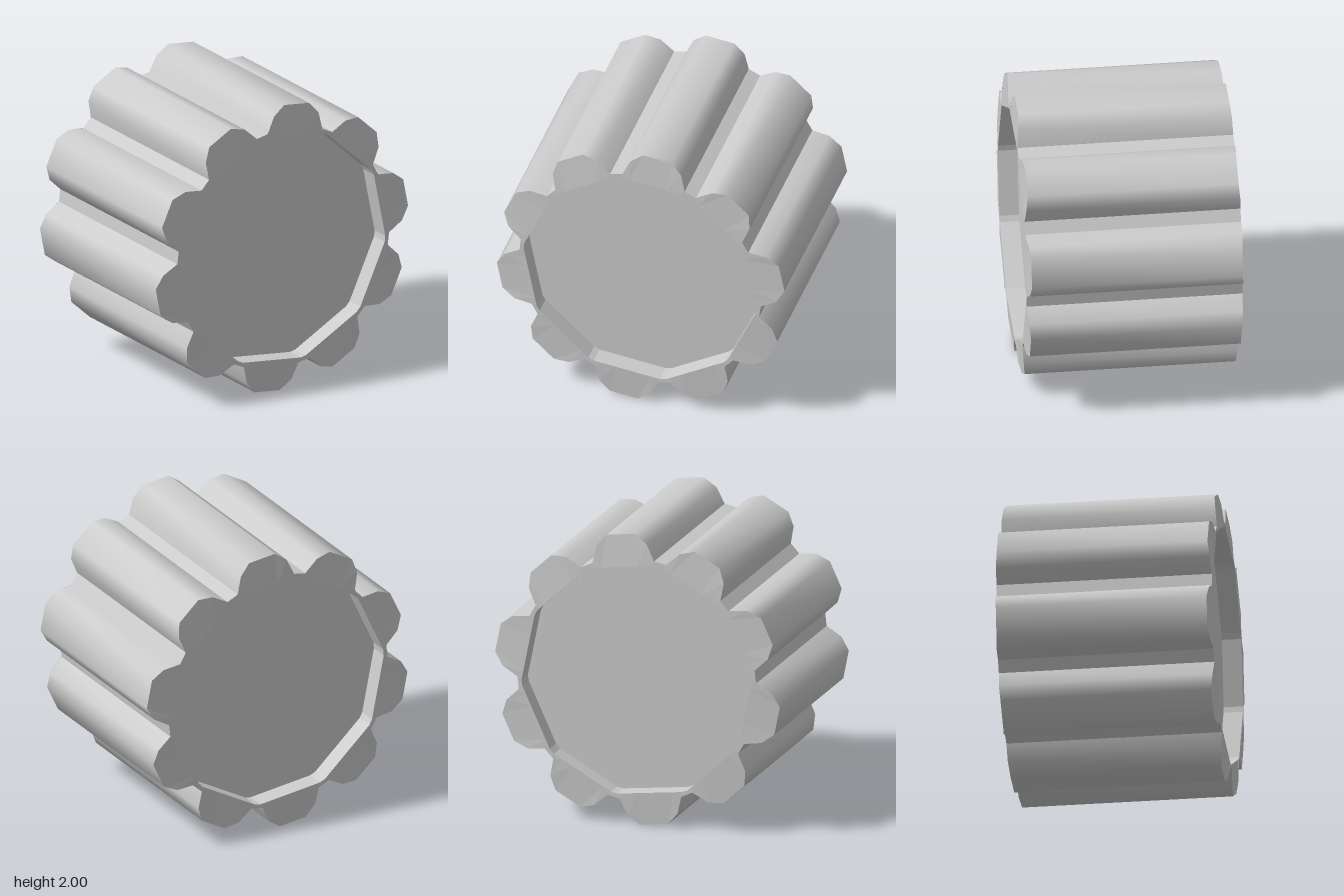
import * as THREE from 'three';
import { mergeGeometries } from 'three/addons/utils/BufferGeometryUtils.js';

const TEETH = 10, PITCH = 36, PHASE = 83.3;
const HALF_DEPTH = 0.72, FLOOR = 0.59, INNER_R = 0.81, CORNER = 16.5;
// One tooth, counterclockwise: angle from the tooth centre (degrees), radius
const TOOTH = [[-15, 0.838], [-10.8, 0.943], [-5.65, 1.002], [5.65, 1.002], [10.8, 0.943], [15, 0.838]];

function polar(r, deg, z) {
  const a = THREE.MathUtils.degToRad(deg);
  return new THREE.Vector3(r * Math.cos(a), r * Math.sin(a), z);
}

// Surface between two rows of points; flat gives each face its own normal
function strip(a, b, flat) {
  const n = a.length, index = [];
  for (let i = 0; i < n - 1; i++) index.push(i, i + 1, n + i + 1, i, n + i + 1, n + i);
  let geo = new THREE.BufferGeometry().setFromPoints([...a, ...b]);
  geo.setIndex(index);
  if (flat) geo = geo.toNonIndexed();
  geo.computeVertexNormals();
  return geo;
}

// Closed tooth outline at one end, dipping slightly towards the tips
function outerLoop(side) {
  const loop = [];
  for (let t = 0; t < TEETH; t++) {
    for (const [a, r] of TOOTH) {
      const z = HALF_DEPTH - 0.016 * Math.pow((r - 0.838) / 0.164, 2);
      loop.push(polar(r, PHASE + t * PITCH + a, side * z));
    }
  }
  return [...loop, loop[0].clone()];
}

// Ten-sided recess outline with clipped corners, matched point for point
function innerLoop(z) {
  const loop = [];
  for (let t = 0; t < TEETH; t++) {
    const mid = PHASE + t * PITCH;
    const from = polar(INNER_R, mid - CORNER, z), to = polar(INNER_R, mid + CORNER, z);
    for (const [a] of TOOTH) loop.push(from.clone().lerp(to, (a + 15) / 30));
  }
  return [...loop, loop[0].clone()];
}

export function createModel() {
  const group = new THREE.Group();
  const material = new THREE.MeshStandardMaterial({ color: 0xcccccc });
  const add = (name, geo) => {
    const mesh = new THREE.Mesh(geo, material);
    mesh.name = name;
    mesh.position.y = 1;
    group.add(mesh);
  };

  // Rounded teeth and the flat valleys between them
  const back = outerLoop(-1), front = outerLoop(1);
  const teeth = [], valleys = [];
  for (let t = 0; t < TEETH; t++) {
    const i = t * TOOTH.length, j = i + TOOTH.length;
    teeth.push(strip(back.slice(i, j), front.slice(i, j), false));
    valleys.push(strip(back.slice(j - 1, j + 1), front.slice(j - 1, j + 1), true));
  }
  add('teeth', mergeGeometries(teeth));
  add('valleys', mergeGeometries(valleys));

  // Each end: rim, recess wall and recess floor
  for (const [label, side, outer] of [['front', 1, front], ['back', -1, back]]) {
    const lip = innerLoop(side * HALF_DEPTH), base = innerLoop(side * FLOOR);
    const surface = (a, b) => (side > 0 ? strip(a, b, true) : strip(b, a, true));
    add(label + 'Rim', surface(outer, lip));
    add(label + 'RecessWall', surface(lip, base));
    const disc = new THREE.Shape(base.map((p) => new THREE.Vector2(side * p.x, p.y)));
    const floor = new THREE.ShapeGeometry(disc);
    if (side < 0) floor.rotateY(Math.PI);
    floor.translate(0, 0, side * FLOOR);
    add(label + 'RecessFloor', floor);
  }
  return group;
}
